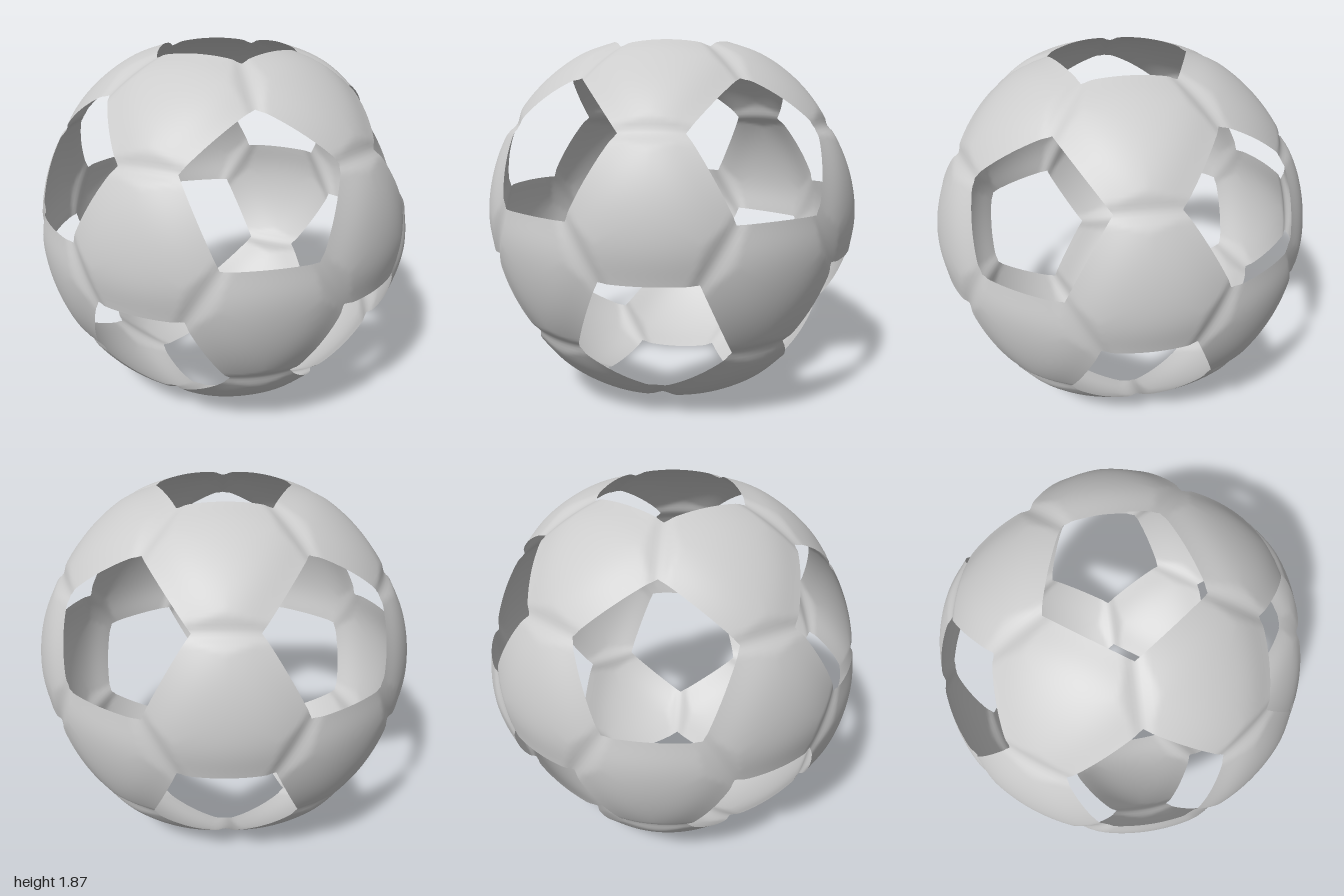
import * as THREE from 'three';
import { mergeVertices } from 'three/addons/utils/BufferGeometryUtils.js';

const STEPS = 20;          // grid steps from panel centre to panel edge
const CORNER = 22.9 / 63.435; // where each corner sits along an icosahedron edge
const CENTRE_Y = 0.9325;

// Twelve directions: two poles and two staggered rings of five
function icosahedronPoints() {
  const points = [new THREE.Vector3(0, 1, 0)];
  const h = 1 / Math.sqrt(5);
  for (const s of [1, -1]) {
    for (let i = 0; i < 5; i++) {
      const a = (i + (s < 0 ? 0.5 : 0)) * Math.PI * 0.4;
      points.push(new THREE.Vector3(2 * h * Math.cos(a), s * h, 2 * h * Math.sin(a)));
    }
  }
  points.push(new THREE.Vector3(0, -1, 0));
  return points;
}

// Twenty triangles, each of which carries one hexagonal panel
function icosahedronFaces() {
  const faces = [];
  for (let i = 0; i < 5; i++) {
    const j = (i + 1) % 5;
    faces.push([0, 1 + j, 1 + i], [1 + i, 1 + j, 6 + i], [1 + j, 6 + j, 6 + i], [11, 6 + i, 6 + j]);
  }
  return faces;
}

function arcPoint(a, b, t) {
  const w = a.angleTo(b);
  return a.clone().multiplyScalar(Math.sin((1 - t) * w)).addScaledVector(b, Math.sin(t * w)).normalize();
}

// Adds one curved hexagon that sinks softly along seams and slightly at open rims
function addPanel(triangle, out) {
  const corners = [];
  triangle.forEach((a, i) => {
    const b = triangle[(i + 1) % 3];
    corners.push(arcPoint(a, b, CORNER), arcPoint(a, b, 1 - CORNER));
  });
  const centre = triangle[0].clone().add(triangle[1]).add(triangle[2]).normalize();
  const edges = corners.map((p, i) => p.clone().cross(corners[(i + 1) % 6]).normalize());

  const place = (dir) => {
    let seam = 0, rim = 0;
    edges.forEach((n, i) => {
      const d = Math.asin(Math.min(1, Math.abs(n.dot(dir))));
      if (i % 2 === 0) seam = Math.max(seam, Math.exp(-((d / 0.055) ** 2)));
      else rim = Math.max(rim, Math.exp(-((d / 0.12) ** 2)));
    });
    return dir.clone().multiplyScalar(1 - Math.max(0.023 * seam, 0.013 * rim));
  };

  for (let k = 0; k < 6; k++) {
    const p = corners[k], q = corners[(k + 1) % 6];
    const grid = (i, j) => place(centre.clone().multiplyScalar(1 - i / STEPS)
      .addScaledVector(p, (i - j) / STEPS).addScaledVector(q, j / STEPS).normalize());
    const add = (a, b, c) => {
      const outward = b.clone().sub(a).cross(c.clone().sub(a)).dot(a) > 0;
      for (const v of outward ? [a, b, c] : [a, c, b]) out.push(v.x, v.y, v.z);
    };
    for (let i = 0; i < STEPS; i++) {
      for (let j = 0; j <= i; j++) {
        add(grid(i, j), grid(i + 1, j), grid(i + 1, j + 1));
        if (j < i) add(grid(i, j), grid(i + 1, j + 1), grid(i, j + 1));
      }
    }
  }
}

export function createModel() {
  const group = new THREE.Group();
  group.name = 'openBall';
  const grey = new THREE.MeshStandardMaterial({ color: 0xcccccc, side: THREE.DoubleSide });
  grey.name = 'light grey';

  // Panels share their seam vertices so the shading flows across the grooves
  const points = icosahedronPoints();
  const positions = [];
  for (const face of icosahedronFaces()) addPanel(face.map((i) => points[i]), positions);
  const soup = new THREE.BufferGeometry();
  soup.setAttribute('position', new THREE.Float32BufferAttribute(positions, 3));
  const geometry = mergeVertices(soup, 1e-4);
  geometry.computeVertexNormals();

  const shell = new THREE.Mesh(geometry, grey);
  shell.name = 'hexagonPanels';
  shell.position.y = CENTRE_Y;
  group.add(shell);
  return group;
}
